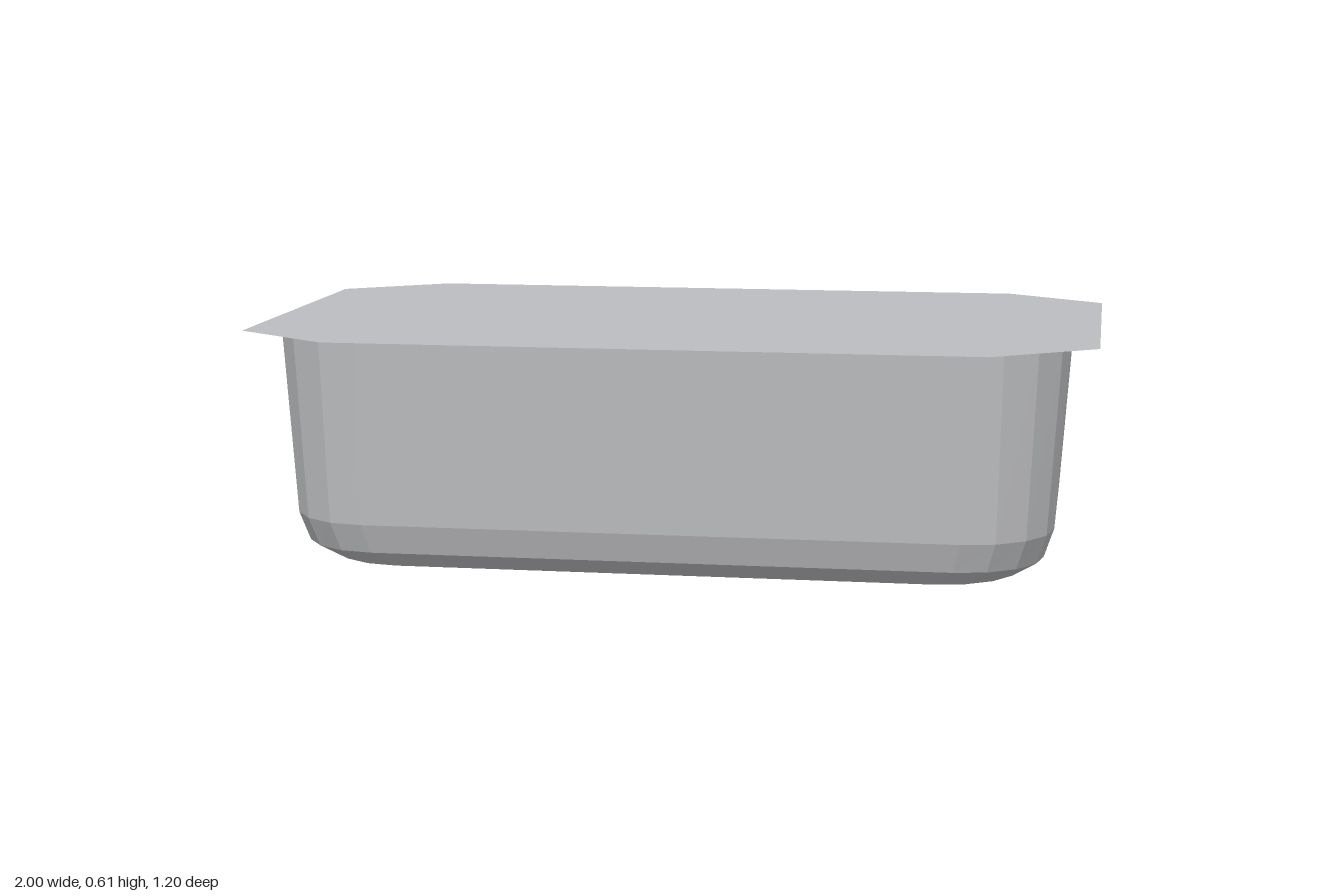
import * as THREE from 'three';

const steel = new THREE.MeshStandardMaterial({ color: 0xbcbdc0, flatShading: true, side: THREE.DoubleSide });
steel.name = 'brushed steel';

// Rounded rectangle ring: half sizes hx, hz with elliptical corners rx, rz
function ring(y, hx, hz, rx, rz, steps = 4) {
  const points = [];
  for (let corner = 0; corner < 4; corner++) {
    const sx = corner === 0 || corner === 3 ? 1 : -1;
    const sz = corner < 2 ? 1 : -1;
    for (let i = 0; i <= steps; i++) {
      const a = (corner + i / steps) * Math.PI / 2;
      points.push([sx * (hx - rx) + rx * Math.cos(a), y, sz * (hz - rz) + rz * Math.sin(a)]);
    }
  }
  return points;
}

// Skin stacked rings from top to bottom and close the floor at bottomY
function loft(rings, bottomY) {
  const n = rings[0].length;
  const positions = rings.flat(2);
  const index = [];
  for (let r = 1; r < rings.length; r++) {
    for (let j = 0; j < n; j++) {
      const k = (j + 1) % n;
      const a = r * n + j, b = r * n + k, ua = a - n, ub = b - n;
      index.push(a, ua, b, ua, ub, b);
    }
  }
  const centre = rings.length * n;
  positions.push(0, bottomY, 0);
  for (let j = 0; j < n; j++) index.push(centre, centre - n + j, centre - n + (j + 1) % n);
  const geometry = new THREE.BufferGeometry();
  geometry.setAttribute('position', new THREE.Float32BufferAttribute(positions, 3));
  geometry.setIndex(index);
  const faceted = geometry.toNonIndexed();
  faceted.computeVertexNormals();
  return faceted;
}

export function createModel() {
  const group = new THREE.Group();
  group.name = 'sinkBasin';
  const add = (name, geometry) => {
    const mesh = new THREE.Mesh(geometry, steel);
    mesh.name = name;
    group.add(mesh);
    return mesh;
  };

  // Flat top sheet with clipped corners
  const outline = [[1, 0.43], [0.76, 0.6], [-0.76, 0.6], [-1, 0.43], [-1, -0.43], [-0.76, -0.6], [0.76, -0.6], [1, -0.43]];
  const sheet = new THREE.ShapeGeometry(new THREE.Shape(outline.map(([x, z]) => new THREE.Vector2(x, z))));
  sheet.rotateX(-Math.PI / 2);
  add('topSheet', sheet).position.y = 0.608;

  // Tapered bowl with a rolled lower edge and a floor sloping to the drain
  const sections = [
    [0.605, 0.935, 0.53, 0.235, 0.24],
    [0.165, 0.905, 0.505, 0.205, 0.215],
    [0.095, 0.882, 0.483, 0.2, 0.205],
    [0.055, 0.825, 0.435, 0.19, 0.195],
    [0.038, 0.745, 0.36, 0.17, 0.17],
  ];
  add('bowl', loft(sections.map((s) => ring(...s)), 0.014));

  // Shallow drain boss under the floor
  const drain = add('drain', new THREE.CylinderGeometry(0.16, 0.13, 0.02, 16));
  drain.position.y = 0.01;

  return group;
}
